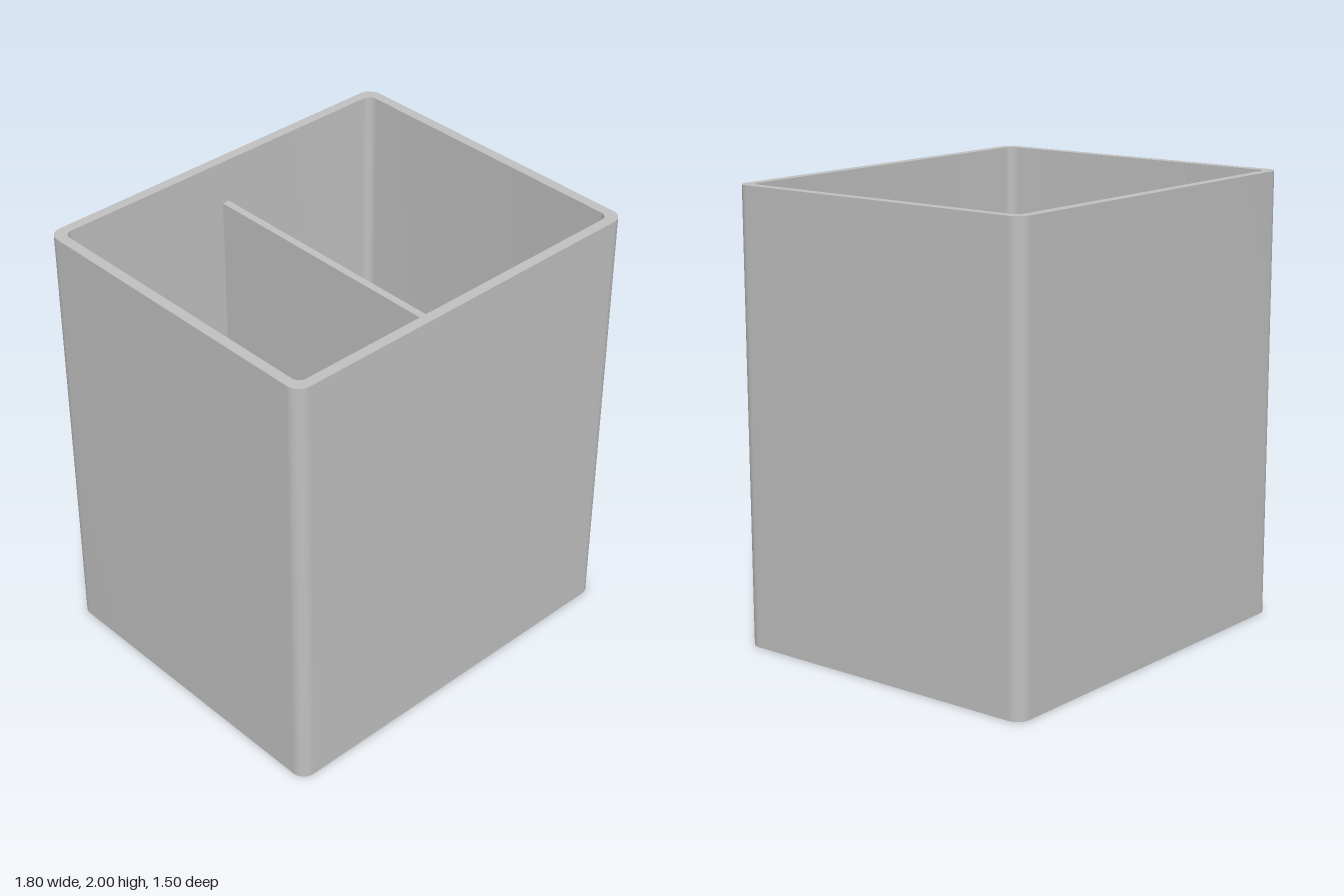
import * as THREE from 'three';
import { toCreasedNormals } from 'three/addons/utils/BufferGeometryUtils.js';

const WIDTH = 1.8, DEPTH = 1.5, HEIGHT = 2;
const WALL = 0.046, FLOOR = 0.046;
const OUTER_RADIUS = 0.06, INNER_RADIUS = 0.04;
const DIVIDER_HEIGHT = 1.8, DIVIDER_THICKNESS = 0.034;

// Rounded rectangle centred on the origin
function roundedRect(PathType, w, d, r) {
  const x = w / 2, y = d / 2;
  const p = new PathType();
  p.moveTo(-x + r, -y);
  p.lineTo(x - r, -y);
  p.absarc(x - r, -y + r, r, -Math.PI / 2, 0, false);
  p.lineTo(x, y - r);
  p.absarc(x - r, y - r, r, 0, Math.PI / 2, false);
  p.lineTo(-x + r, y);
  p.absarc(-x + r, y - r, r, Math.PI / 2, Math.PI, false);
  p.lineTo(-x, -y + r);
  p.absarc(-x + r, -y + r, r, Math.PI, Math.PI * 1.5, false);
  return p;
}

// Upright extrusion from y0 to y1 with smooth corners and sharp rims
function extrudeUp(shape, y0, y1) {
  const geometry = new THREE.ExtrudeGeometry(shape, {
    depth: y1 - y0, bevelEnabled: false, curveSegments: 10,
  });
  geometry.rotateX(-Math.PI / 2);
  geometry.translate(0, y0, 0);
  return toCreasedNormals(geometry, 0.6);
}

export function createModel() {
  const group = new THREE.Group();
  group.name = 'dividedHolder';

  const grey = new THREE.MeshStandardMaterial({ color: 0xc0c0c0 });
  grey.name = 'grey';

  const add = (name, geometry) => {
    const mesh = new THREE.Mesh(geometry, grey);
    mesh.name = name;
    group.add(mesh);
    return mesh;
  };

  // Closed floor
  add('floor', extrudeUp(roundedRect(THREE.Shape, WIDTH, DEPTH, OUTER_RADIUS), 0, FLOOR));

  // Four walls as one hollow ring
  const ring = roundedRect(THREE.Shape, WIDTH, DEPTH, OUTER_RADIUS);
  ring.holes.push(roundedRect(THREE.Path, WIDTH - 2 * WALL, DEPTH - 2 * WALL, INNER_RADIUS));
  add('walls', extrudeUp(ring, FLOOR, HEIGHT));

  // Divider between the two compartments, lower than the rim
  const dividerHeight = DIVIDER_HEIGHT - FLOOR;
  const divider = add('divider',
    new THREE.BoxGeometry(DIVIDER_THICKNESS, dividerHeight, DEPTH - 2 * WALL));
  divider.position.y = FLOOR + dividerHeight / 2;

  return group;
}
